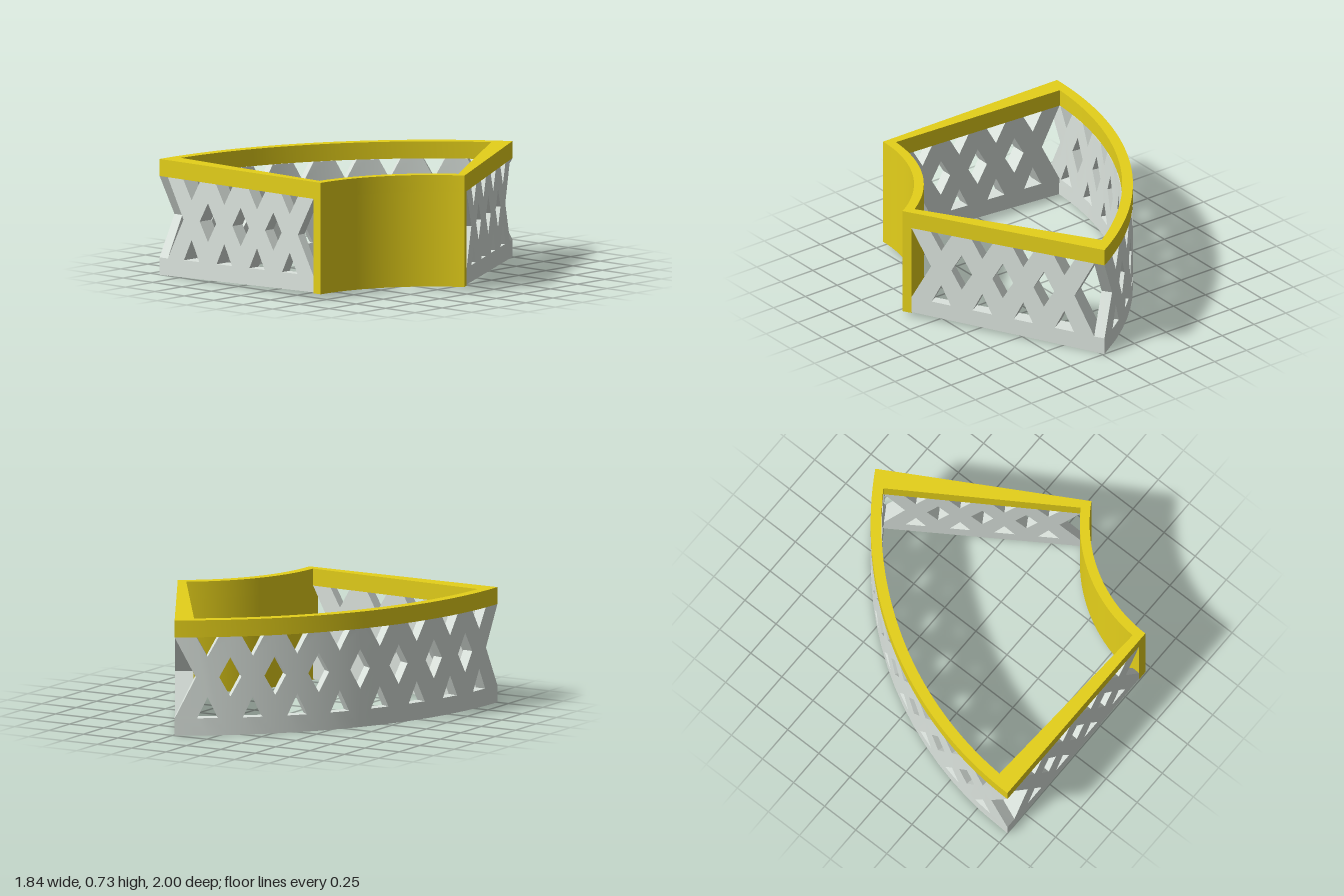
import * as THREE from 'three';
import { toCreasedNormals } from 'three/addons/utils/BufferGeometryUtils.js';

// Sixty degree ring sector, set out in polar form about one centre
const CX = 1.39, CZ = 1, SPAN = Math.PI / 3;
const R_OUT = 2.31, R_LAT = 2.24, R_IN = 1.003, R_BORE = 0.942;
const WALL = 0.0538;                        // angular thickness of the straight walls
const TOP = 0.733, BAND = 0.625, FOOT = 0.027, RISE = 0.033;
const SILL = 0.11, MID = 0.37, HALF = 0.07; // lattice sill, mid height, half hole width
const END = 0.063;                          // reach of an end notch past its centre

const polar = (r, phi, y) => [CX - r * Math.cos(phi), y, CZ - r * Math.sin(phi)];

// Lattice panel from u0 to u1, in half cells; place(u, y, d) bends it into
// position, d = 0 on the outer face and d = 1 on the inner face
function latticePanel(u0, u1, cells, place, flip) {
  const pos = [];
  const h = (u1 - u0 - 2 * END) / cells / 2;
  const tri = (a, b, c) => {
    for (const p of flip ? [a, c, b] : [a, b, c]) pos.push(...place(...p));
  };
  for (let i = 0; i < cells; i++) {
    for (const dir of [-1, 1]) {
      const c = u0 + END + (2 * i + 1) * h;
      const isEnd = dir < 0 ? i === 0 : i === cells - 1;
      const e = isEnd ? h + END : h;
      const lo = isEnd ? SILL : 0.245, hi = isEnd ? BAND : 0.495;
      // half cell: triangle holes on its centre, diamond or end notch on its side
      let pts = [[0, 0], [e, 0], [e, lo], [h - HALF, MID], [e, hi]];
      if (!isEnd) pts.push([e, BAND]);
      pts.push([HALF, BAND], [0, 0.5], [0, 0.245], [HALF - 0.005, SILL], [0, SILL]);
      pts = pts.map(([x, y]) => new THREE.Vector2(c + dir * x, y));
      if (dir < 0) pts.reverse();
      for (const f of THREE.ShapeUtils.triangulateShape(pts, [])) {
        const [a, b, g] = f.map(k => pts[k]);
        tri([a.x, a.y, 0], [b.x, b.y, 0], [g.x, g.y, 0]);
        tri([a.x, a.y, 1], [g.x, g.y, 1], [b.x, b.y, 1]);
      }
      // sides of holes and outer edges, leaving out seams between half cells
      pts.forEach((a, k) => {
        const b = pts[(k + 1) % pts.length];
        const atEnd = isEnd && Math.abs(a.x - c) > h;
        if (Math.abs(a.x - b.x) < 1e-6 && !atEnd) return;
        tri([a.x, a.y, 0], [a.x, a.y, 1], [b.x, b.y, 1]);
        tri([a.x, a.y, 0], [b.x, b.y, 1], [b.x, b.y, 0]);
      });
    }
  }
  const geo = new THREE.BufferGeometry();
  geo.setAttribute('position', new THREE.Float32BufferAttribute(pos, 3));
  return toCreasedNormals(geo, 0.3);
}

// Closed counterclockwise outline between two radii and two angles
function sector(target, rA, rB, a, b) {
  target.absarc(CX, -CZ, rB, Math.PI - b, Math.PI - a, false);
  target.absarc(CX, -CZ, rA, Math.PI - a, Math.PI - b, true);
  target.closePath();
  return target;
}

function extrudeUp(shape, y0, y1) {
  const geo = new THREE.ExtrudeGeometry(shape, { depth: y1 - y0, bevelEnabled: false, curveSegments: 40 });
  geo.rotateX(-Math.PI / 2);
  geo.translate(0, y0, 0);
  return toCreasedNormals(geo, 0.3);
}

export function createModel() {
  const group = new THREE.Group();
  const pale = new THREE.MeshStandardMaterial({ color: 0xdce4de });
  const yellow = new THREE.MeshStandardMaterial({ color: 0xe5d01a });
  const add = (name, geo, mat) => {
    const mesh = new THREE.Mesh(geo, mat);
    mesh.name = name;
    group.add(mesh);
  };

  // Curved outer lattice
  add('outerLattice', latticePanel(0, SPAN * R_OUT, 8,
    (u, y, d) => polar(R_OUT + (R_LAT - R_OUT) * d, u / R_OUT, y), true), pale);

  // Straight lattice walls, tapering towards the centre, with a rising underside
  const rise = (r, y) => y + (1 - y / BAND) * RISE * (R_OUT - r) / (R_OUT - R_IN);
  add('frontLattice', latticePanel(R_IN, R_LAT, 4,
    (r, y, d) => polar(r, WALL * d, rise(r, y)), true), pale);
  add('sideLattice', latticePanel(R_IN, R_LAT, 4,
    (r, y, d) => polar(r, SPAN - WALL * d, rise(r, y)), false), pale);

  // Solid rim around the top
  const rim = sector(new THREE.Shape(), R_BORE, R_OUT, 0, SPAN);
  rim.holes.push(sector(new THREE.Path(), R_IN, R_LAT + 0.003, WALL, SPAN - WALL));
  add('topRim', extrudeUp(rim, BAND, TOP), yellow);

  // Solid curved inner wall
  add('innerWall', extrudeUp(sector(new THREE.Shape(), R_BORE, R_IN, 0, SPAN), FOOT, BAND), yellow);
  return group;
}
